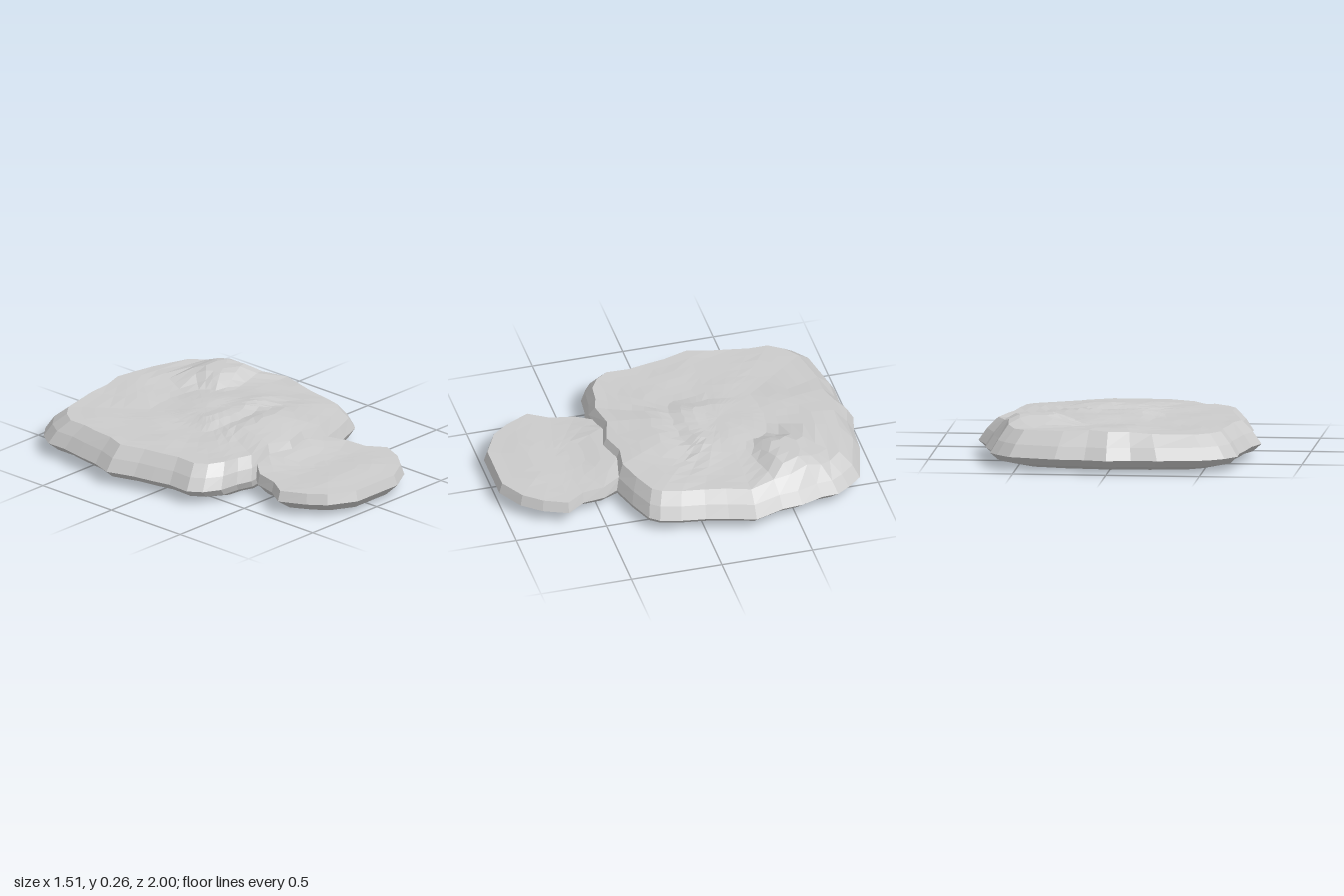
import * as THREE from 'three';

const material = new THREE.MeshStandardMaterial({ color: 0xcccccc, flatShading: true, roughness: 0.9 });

// Widest outlines as [x, z], clockwise seen from above, starting at the back
const slabOutline = [
  [0, -1], [0.12, -0.97], [0.28, -0.96], [0.53, -0.89], [0.6, -0.81], [0.645, -0.74], [0.65, -0.65],
  [0.69, -0.53], [0.7, -0.42], [0.755, -0.26], [0.71, -0.12], [0.68, 0], [0.66, 0.13], [0.63, 0.24],
  [0.59, 0.29], [0.45, 0.345], [0.3, 0.39], [0.15, 0.37], [0, 0.41], [-0.15, 0.37], [-0.33, 0.395],
  [-0.42, 0.37], [-0.53, 0.36], [-0.62, 0.31], [-0.67, 0.24], [-0.665, 0.11], [-0.69, 0], [-0.71, -0.11],
  [-0.76, -0.26], [-0.72, -0.38], [-0.7, -0.53], [-0.68, -0.64], [-0.68, -0.76], [-0.62, -0.85],
  [-0.53, -0.92], [-0.27, -0.97], [-0.13, -0.965],
];
const stepOutline = [
  [0, 0.26], [0.2, 0.28], [0.28, 0.35], [0.35, 0.47], [0.365, 0.59], [0.435, 0.69], [0.38, 0.82],
  [0.3, 0.92], [0.16, 1], [0, 1], [-0.15, 1], [-0.3, 0.92], [-0.37, 0.83], [-0.44, 0.69],
  [-0.37, 0.58], [-0.34, 0.45], [-0.28, 0.38], [-0.2, 0.28],
];

// Piecewise linear lookup through [position, value] knots
function lookup(knots, t) {
  if (t <= knots[0][0]) return knots[0][1];
  for (let i = 1; i < knots.length; i++) {
    const [a, va] = knots[i - 1], [b, vb] = knots[i];
    if (t <= b) return va + (vb - va) * (t - a) / (b - a);
  }
  return knots[knots.length - 1][1];
}

// Slab relief: ripples running across, plus a raised block at the back left
const rippleAlongZ = [[-0.88, 0.02], [-0.75, 0.022], [-0.6, 0.012], [-0.5, 0.004], [-0.28, 0.022], [-0.2, 0.022],
  [-0.1, 0.035], [-0.02, 0.012], [0.08, 0.036], [0.2, 0.026], [0.33, 0.01], [0.37, 0]];
const rippleAcrossX = [[-0.55, 0], [-0.2, 0.15], [-0.12, 0.9], [0.2, 1], [0.35, 0.5], [0.6, 0]];
const blockX = [[0.2, 0], [0.31, 1], [0.52, 1], [0.62, 0]];
const blockZ = [[-0.74, 0], [-0.6, 1], [-0.43, 1], [-0.35, 0]];
const slabHeight = (x, z) => 0.2 + Math.max(
  lookup(rippleAlongZ, z) * lookup(rippleAcrossX, x) + 0.004 * Math.sin(x * 17) * Math.sin(z * 13),
  0.06 * lookup(blockX, x) * lookup(blockZ, z));

const stepHeight = (x, z) =>
  0.13 + lookup([[0.38, 0.035], [0.5, 0.01], [0.6, 0.003], [0.8, 0.012], [0.95, 0]], z)
    * lookup([[-0.35, 0], [-0.12, 1], [0.15, 1], [0.38, 0]], x);

// Scales an outline about (0, cz), with separate factors for x, front and back
function ring(outline, cz, sx, front, back, height) {
  return outline.map(([x, z]) => {
    const px = x * sx, pz = cz + (z - cz) * (z > cz ? front : back);
    return [px, height(px, pz), pz];
  });
}

// Skins rings from the underside upwards and closes both ends at the centre
function stoneGeometry(rings, cz, bottomY, topY) {
  const n = rings[0].length;
  const positions = [...rings.flat(2), 0, bottomY, cz, 0, topY, cz];
  const bottom = rings.length * n, top = bottom + 1, index = [];
  for (let i = 0; i < n; i++) {
    const j = (i + 1) % n, last = (rings.length - 1) * n;
    for (let k = 0; k < rings.length - 1; k++) {
      const a = k * n + i, b = k * n + j;
      index.push(a, a + n, b, b, a + n, b + n);
    }
    index.push(bottom, i, j, top, last + j, last + i);
  }
  const g = new THREE.BufferGeometry();
  g.setAttribute('position', new THREE.Float32BufferAttribute(positions, 3));
  g.setIndex(index);
  const flat = g.toNonIndexed();
  flat.computeVertexNormals();
  return flat;
}

function addStone(group, name, rings, cz, bottomY, topY) {
  const mesh = new THREE.Mesh(stoneGeometry(rings, cz, bottomY, topY), material);
  mesh.name = name;
  group.add(mesh);
}

export function createModel() {
  const group = new THREE.Group();
  group.name = 'steppingStones';

  // Large slab: flat underside, widest edge, bevelled rim, uneven top
  const cz = -0.25;
  const slab = [
    ring(slabOutline, cz, 0.78, 0.92, 0.72, () => 0),
    ring(slabOutline, cz, 0.94, 0.98, 0.93, () => 0.035),
    ring(slabOutline, cz, 1, 1, 1, () => 0.075),
    ring(slabOutline, cz, 0.94, 0.975, 0.95, () => 0.14),
  ];
  for (let s = 1; s > 0.05; s -= 0.1) {
    slab.push(ring(slabOutline, cz, 0.86 * s, 0.93 * s, 0.853 * s, slabHeight));
  }
  addStone(group, 'largeSlab', slab, cz, 0, slabHeight(0, cz));

  // Small front slab, tucked under the edge of the large one
  const sz = 0.65;
  const step = [
    ring(stepOutline, sz, 0.78, 0.86, 1, (x, z) => lookup([[0.4, 0], [0.95, 0.02]], z)),
    ring(stepOutline, sz, 1, 1, 1, () => 0.075),
  ];
  for (const s of [1, 0.8, 0.6, 0.4, 0.2]) {
    step.push(ring(stepOutline, sz, 0.955 * s, 0.95 * s, s, stepHeight));
  }
  addStone(group, 'smallSlab', step, sz, 0.005, stepHeight(0, sz));

  return group;
}
